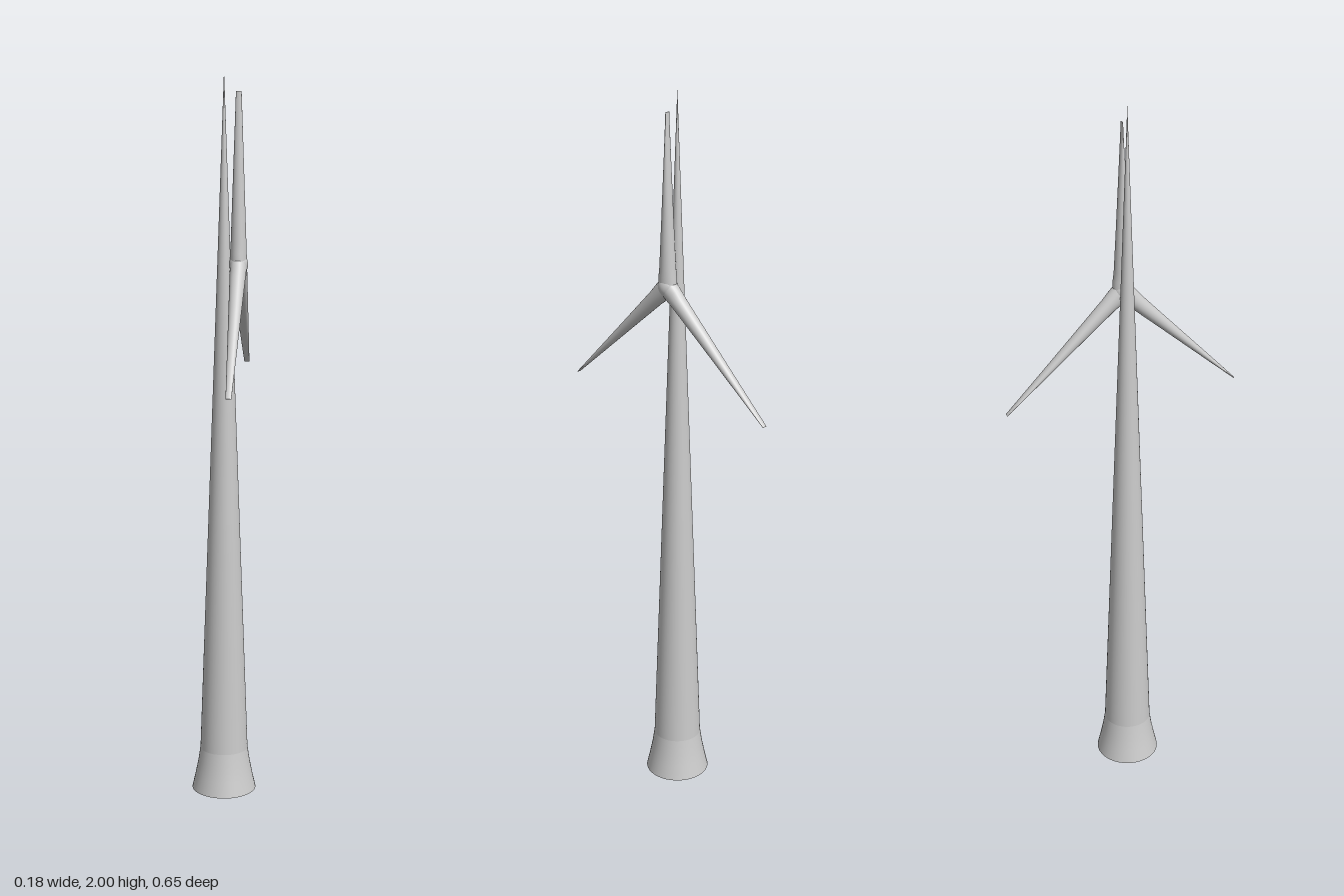
import * as THREE from 'three';
import { mergeVertices } from 'three/addons/utils/BufferGeometryUtils.js';

const grey = new THREE.MeshStandardMaterial({ color: 0xcccccc });

function addMesh(parent, geometry, name) {
  const mesh = new THREE.Mesh(geometry, grey);
  mesh.name = name;
  parent.add(mesh);
  return mesh;
}

// Surface of revolution from [radius, height] pairs
function lathe(profile, sides) {
  return new THREE.LatheGeometry(profile.map(([r, y]) => new THREE.Vector2(r, y)), sides);
}

// Blade along +y: wide along the rotor axis (x), thinning to a wedge at the tip
function bladeGeometry(length) {
  const profile = [
    [0.027, 0], [0.025, 0.03], [0.022, 0.055], [0.0165, 0.16],
    [0.011, 0.27], [0.006, 0.37], [0.0015, length], [0.0001, length],
  ];
  const geometry = lathe(profile, 24);
  const pos = geometry.attributes.position;
  for (let i = 0; i < pos.count; i++) {
    const r = profile[i % profile.length][0];
    const halfWidth = r < 0.001 ? 0.0005 : THREE.MathUtils.lerp(0.023, 0.0075, pos.getY(i) / length);
    pos.setX(i, (pos.getX(i) / r) * halfWidth);
  }
  geometry.deleteAttribute('uv');
  geometry.deleteAttribute('normal');
  const merged = mergeVertices(geometry, 1e-6);
  merged.computeVertexNormals();
  return merged;
}

export function createModel() {
  const model = new THREE.Group();
  model.name = 'windTurbine';

  // Flared foot and long tower tapering to a needle point
  addMesh(model, lathe([[0.09, 0], [0.081, 0.04], [0.073, 0.08], [0.067, 0.12]], 40), 'towerFoot');
  addMesh(model, lathe([[0.067, 0.12], [0.0435, 0.78], [0.0185, 1.48], [0, 2]], 40), 'tower');
  const underside = addMesh(model, new THREE.CircleGeometry(0.09, 40), 'footUnderside');
  underside.rotation.x = Math.PI / 2;

  // Rotor on the left side of the tower, turning about x
  const rotor = new THREE.Group();
  rotor.name = 'rotor';
  rotor.position.set(0.039, 1.49, 0);
  model.add(rotor);

  const hub = addMesh(rotor, new THREE.SphereGeometry(1, 24, 16), 'hub');
  hub.scale.set(0.026, 0.03, 0.027);

  const lowerAngle = Math.atan2(0.325, -0.31);
  const blades = [['upperBlade', 0], ['frontBlade', lowerAngle], ['backBlade', -lowerAngle]];
  for (const [name, angle] of blades) {
    addMesh(rotor, bladeGeometry(angle ? 0.45 : 0.455), name).rotation.x = angle;
  }
  return model;
}
